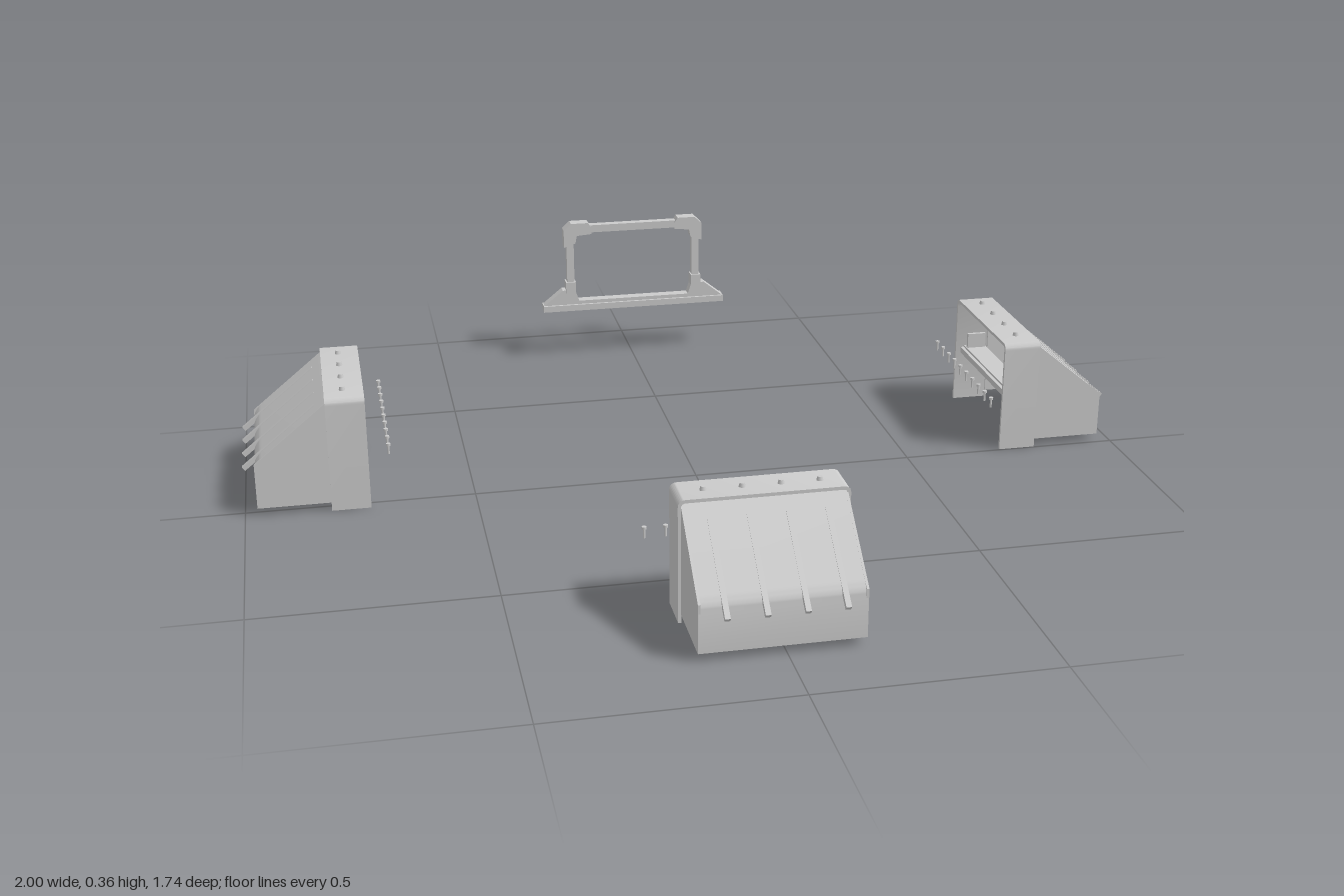
import * as THREE from 'three';
import { toCreasedNormals } from 'three/addons/utils/BufferGeometryUtils.js';

const material = new THREE.MeshStandardMaterial({ color: 0xcccccc, side: THREE.DoubleSide });

function add(parent, name, geometry, x = 0, y = 0, z = 0) {
  const mesh = new THREE.Mesh(geometry, material);
  mesh.name = name;
  mesh.position.set(x, y, z);
  parent.add(mesh);
  return mesh;
}

const box = (w, h, d) => new THREE.BoxGeometry(w, h, d);

// Extrude a shape along z, centred on z = 0
function slab(shape, depth) {
  const g = new THREE.ExtrudeGeometry(shape, { depth, bevelEnabled: false, curveSegments: 8 });
  g.translate(0, 0, -depth / 2);
  return toCreasedNormals(g, 0.6);
}

const polygon = (points) => new THREE.Shape(points.map(([x, y]) => new THREE.Vector2(x, y)));

// Upside-down U with rounded top corners, standing on y = base
function archShape(w, base, top, radius, t) {
  const h = w / 2, i = h - t, r = Math.max(radius - t, 0.003);
  const s = new THREE.Shape();
  s.moveTo(-h, base);
  s.lineTo(-h, top - radius);
  s.quadraticCurveTo(-h, top, -h + radius, top);
  s.lineTo(h - radius, top);
  s.quadraticCurveTo(h, top, h, top - radius);
  s.lineTo(h, base);
  s.lineTo(i, base);
  s.lineTo(i, top - t - r);
  s.quadraticCurveTo(i, top - t, i - r, top - t);
  s.lineTo(-i + r, top - t);
  s.quadraticCurveTo(-i, top - t, -i, top - t - r);
  s.lineTo(-i, base);
  s.closePath();
  return s;
}

// One hood, open at the back (z = 0) and underneath, sloping towards +z
function createHood() {
  const hood = new THREE.Group();
  hood.name = 'hood';

  // Boxy shroud around the opening
  add(hood, 'shroud', slab(archShape(0.34, 0, 0.26, 0.016, 0.007), 0.085), 0, 0, 0.0425);

  // Sloping front skin, bending down into a vertical lip
  const skin = new THREE.Shape();
  skin.moveTo(0.08, 0.252);
  skin.lineTo(0.225, 0.133);
  skin.quadraticCurveTo(0.243, 0.118, 0.243, 0.1);
  skin.lineTo(0.243, 0.017);
  skin.lineTo(0.238, 0.017);
  skin.lineTo(0.238, 0.1);
  skin.quadraticCurveTo(0.238, 0.115, 0.222, 0.128);
  skin.lineTo(0.08, 0.244);
  skin.closePath();
  add(hood, 'frontSkin', slab(skin, 0.326).rotateY(-Math.PI / 2));

  // Side cheeks
  const cheek = polygon([[0.08, 0.017], [0.243, 0.017], [0.243, 0.119], [0.08, 0.252]]);
  for (const s of [-1, 1]) {
    add(hood, 'cheek', slab(cheek, 0.005).rotateY(-Math.PI / 2), s * 0.1615, 0, 0);
  }

  // Rail, shelf and lintel inside the opening
  add(hood, 'rail', box(0.326, 0.014, 0.012), 0, 0.128, 0.018);
  add(hood, 'shelf', box(0.326, 0.005, 0.05), 0, 0.137, 0.045);
  add(hood, 'lintel', box(0.326, 0.03, 0.006), 0, 0.238, 0.075);
  for (const s of [-1, 1]) {
    add(hood, 'shelfBracket', box(0.008, 0.04, 0.045), s * 0.145, 0.155, 0.045);
  }

  // Rods under the slope that poke out over the lip, and bolts on the top
  for (let i = 0; i < 4; i++) {
    const x = -0.113 + i * 0.077;
    const rod = add(hood, 'rod', box(0.011, 0.01, 0.21), x, 0.161, 0.185);
    rod.rotation.x = Math.atan2(0.155, 0.19);
    add(hood, 'topBolt', new THREE.CylinderGeometry(0.005, 0.007, 0.008, 12), x, 0.264, 0.045);
  }

  // Row of loose pins behind the opening
  for (let i = 0; i < 10; i++) {
    const x = -0.212 + i * 0.043;
    add(hood, 'pinShank', new THREE.CylinderGeometry(0.0025, 0.0025, 0.022, 8), x, 0.137, -0.044);
    add(hood, 'pinHead', new THREE.CylinderGeometry(0.005, 0.005, 0.005, 10), x, 0.148, -0.044);
  }
  return hood;
}

// Upright hoop on a long foot
function createFrame() {
  const frame = new THREE.Group();
  frame.name = 'frame';

  const foot = polygon([
    [-0.238, 0.123], [0.238, 0.123], [0.238, 0.138], [0.188, 0.178], [0.155, 0.178],
    [0.145, 0.148], [-0.145, 0.148], [-0.155, 0.178], [-0.188, 0.178], [-0.238, 0.138],
  ]);
  add(frame, 'foot', slab(foot, 0.026));
  add(frame, 'footPlate', box(0.478, 0.016, 0.038), 0, 0.131, 0);
  add(frame, 'hoop', slab(archShape(0.35, 0.14, 0.35, 0.03, 0.019), 0.02));

  // Thicker corner clamps and post sleeves
  const clamp = polygon([
    [0.11, 0.346], [0.118, 0.358], [0.163, 0.358], [0.182, 0.34],
    [0.182, 0.295], [0.152, 0.305], [0.148, 0.325], [0.11, 0.328],
  ]);
  for (const s of [-1, 1]) {
    const corner = add(frame, 'cornerClamp', slab(clamp, 0.03));
    if (s < 0) corner.rotation.y = Math.PI;
    add(frame, 'postSleeve', box(0.026, 0.03, 0.03), s * 0.166, 0.185, 0);
  }
  return frame;
}

export function createModel() {
  const model = new THREE.Group();
  model.name = 'hoodSet';

  // Three hoods facing front, right and left
  const placements = [
    ['frontHood', -0.008, 0.6, 0],
    ['rightHood', -0.73, -0.144, -Math.PI / 2],
    ['leftHood', 0.726, -0.173, Math.PI / 2],
  ];
  for (const [name, x, z, turn] of placements) {
    const hood = createHood();
    hood.name = name;
    hood.position.set(x, 0, z);
    hood.rotation.y = turn;
    model.add(hood);
  }

  // Hoop frame at the back
  const frame = createFrame();
  frame.position.set(0.008, 0, -0.854);
  model.add(frame);
  return model;
}
